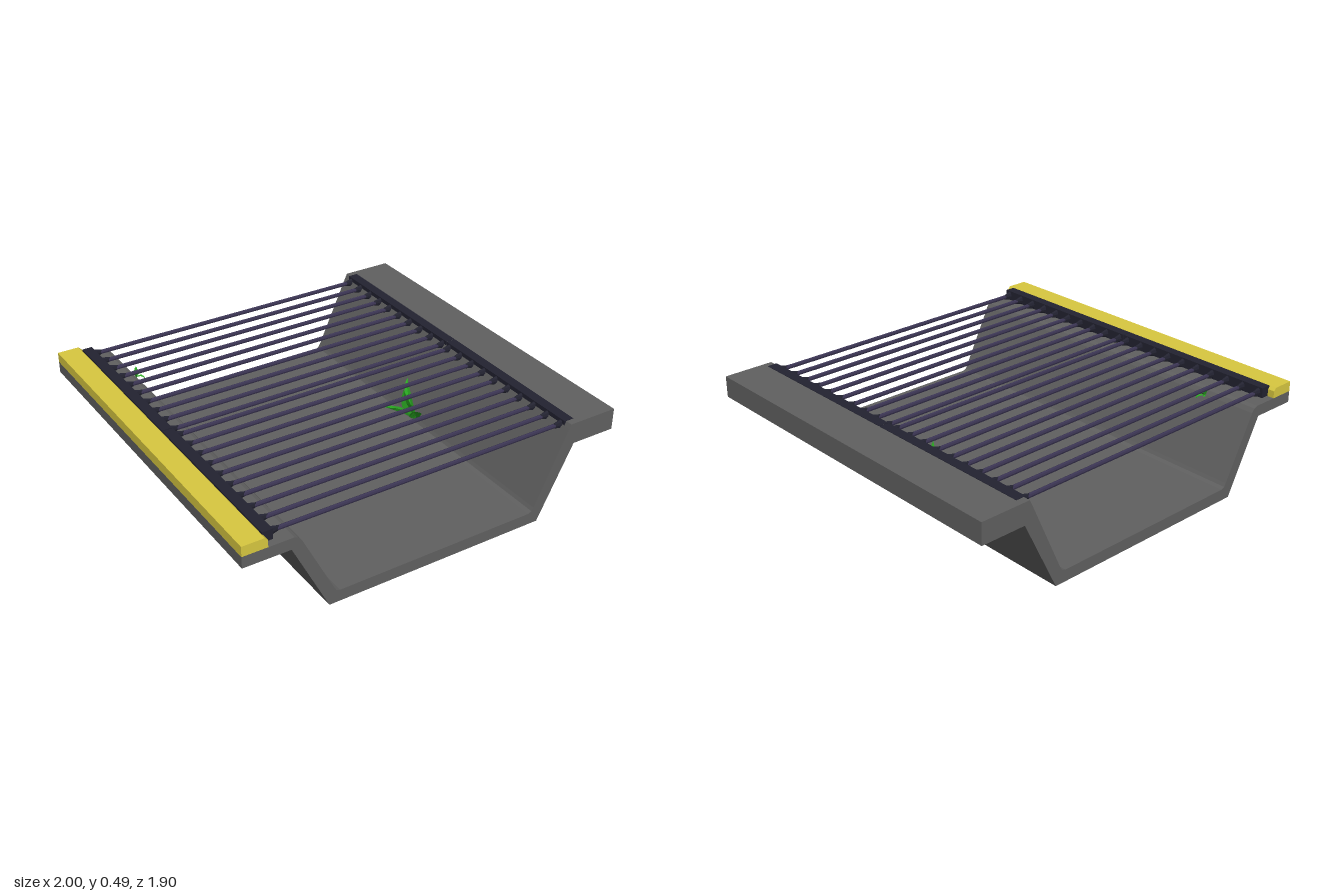
import * as THREE from 'three';

const LENGTH = 1.9;
const mat = (color, extra = {}) => new THREE.MeshStandardMaterial({ color, flatShading: true, ...extra });

function add(parent, name, geometry, material, x = 0, y = 0, z = 0) {
  const mesh = new THREE.Mesh(geometry, material);
  mesh.name = name;
  mesh.position.set(x, y, z);
  parent.add(mesh);
  return mesh;
}

// Constant cross-section in x/y, run along the whole length in z
function run(points) {
  const shape = new THREE.Shape(points.map(([x, y]) => new THREE.Vector2(x, y)));
  return new THREE.ExtrudeGeometry(shape, { depth: LENGTH, bevelEnabled: false }).translate(0, 0, -LENGTH / 2);
}

// Folded tapering leaf following a curve from root over mid to tip
function leaf(root, mid, tip, width, across) {
  const v = (p) => new THREE.Vector3(...p);
  const curve = new THREE.QuadraticBezierCurve3(v(root), v(mid), v(tip));
  const widths = [0.2, 0.75, 1, 0.65, 0];
  const side = v(across).normalize();
  const pos = [], index = [];
  widths.forEach((w, i) => {
    const t = i / (widths.length - 1);
    const p = curve.getPoint(t);
    const fold = new THREE.Vector3().crossVectors(side, curve.getTangent(t)).multiplyScalar(w * width * 0.25);
    for (const s of [-1, 0, 1]) {
      const q = p.clone().addScaledVector(side, s * w * width / 2);
      if (s !== 0) q.add(fold);
      pos.push(q.x, q.y, q.z);
    }
    if (i > 0) {
      for (let k = 0; k < 2; k++) {
        const a = (i - 1) * 3 + k, b = i * 3 + k;
        index.push(a, a + 1, b, a + 1, b + 1, b);
      }
    }
  });
  const g = new THREE.BufferGeometry();
  g.setAttribute('position', new THREE.Float32BufferAttribute(pos, 3));
  g.setIndex(index);
  g.computeVertexNormals();
  return g;
}

export function createModel() {
  const model = new THREE.Group();
  model.name = 'coveredChannel';
  const concrete = mat(0x606060);
  const yellow = mat(0xd8c840);
  const railMat = mat(0x222230);
  const barMat = mat(0x3a3452);
  const green = mat(0x2aa822, { side: THREE.DoubleSide });

  // Concrete trough with a low left lip and a thick right lip
  add(model, 'trough', run([
    [-1, 0.375], [-0.765, 0.375], [-0.58, 0], [0.58, 0], [0.765, 0.375], [1, 0.375],
    [1, 0.485], [0.738, 0.485], [0.728, 0.465], [0.555, 0.085], [0.545, 0.068], [0.525, 0.06],
    [-0.525, 0.06], [-0.545, 0.068], [-0.555, 0.085], [-0.715, 0.405], [-0.73, 0.425], [-0.75, 0.433], [-1, 0.433],
  ]), concrete);

  // Painted kerb on the low lip
  add(model, 'kerb', run([
    [-1, 0.433], [-0.875, 0.433], [-0.875, 0.47], [-0.89, 0.485], [-1, 0.485],
  ]), yellow);

  // Two grates, each with two rails and ten bars
  const barGeo = new THREE.CylinderGeometry(0.012, 0.012, 1.54, 8).rotateZ(Math.PI / 2).scale(1, 1, 0.75);
  const socketGeo = new THREE.CylinderGeometry(0.012, 0.024, 0.045, 8).rotateZ(-Math.PI / 2).scale(1, 1, 0.6);
  const railGeo = new THREE.BoxGeometry(0.052, 0.052, 0.912);
  for (const s of [-1, 1]) {
    const grate = new THREE.Group();
    grate.name = s < 0 ? 'backGrate' : 'frontGrate';
    grate.position.set(0, 0.46, s * 0.458);
    model.add(grate);
    add(grate, 'rightRail', railGeo, railMat, -0.857, 0.001, 0);
    add(grate, 'leftRail', railGeo, railMat, 0.754, 0.001, 0);
    for (let i = 0; i < 10; i++) {
      const z = -0.43 + i * 0.0955;
      add(grate, 'bar', barGeo, barMat, -0.05, 0, z);
      add(grate, 'rightSocket', socketGeo, railMat, -0.81, 0, z);
      add(grate, 'leftSocket', socketGeo, railMat, 0.707, 0, z).rotation.y = Math.PI;
    }
  }

  // Large weed growing from the foot of the left slope: root, mid, tip, width, across
  const weed = new THREE.Group();
  weed.name = 'largeWeed';
  model.add(weed);
  const root = [0.56, 0.08, 0];
  [
    [[0.47, 0.21, -0.01], [0.35, 0.2, -0.03], 0.075, [0.3, 0.4, 1]],
    [[0.5, 0.18, 0.05], [0.44, 0.22, 0.12], 0.06, [1, 0.4, 0.6]],
    [[0.47, 0.2, 0], [0.455, 0.295, 0.02], 0.05, [0.7, 0.3, 0.7]],
    [[0.5, 0.25, -0.04], [0.55, 0.29, -0.08], 0.035, [0.6, 0, 0.6]],
    [[0.53, 0.15, 0.03], [0.5, 0.18, 0.08], 0.05, [1, 0.3, 0.4]],
  ].forEach(([mid, tip, w, across]) => add(weed, 'leaf', leaf(root, mid, tip, w, across), green));

  // Small weed on the upper edge of the right slope
  const sprout = new THREE.Group();
  sprout.name = 'smallWeed';
  sprout.position.set(-0.71, 0.4, -0.66);
  model.add(sprout);
  [
    [[0.02, 0.03, 0.005], [0.05, 0.025, 0.005]],
    [[0.005, 0.03, -0.01], [0.012, 0.045, -0.022]],
    [[0.02, 0.015, 0.015], [0.04, -0.015, 0.025]],
    [[-0.01, 0.025, 0.01], [-0.03, 0.035, 0.01]],
    [[0.01, 0.02, -0.015], [0.035, 0.01, -0.025]],
  ].forEach(([mid, tip]) => add(sprout, 'leaf',
    leaf([0, -0.005, 0], mid, tip, 0.02, [-tip[2], 0.004, tip[0]]), green));

  return model;
}
